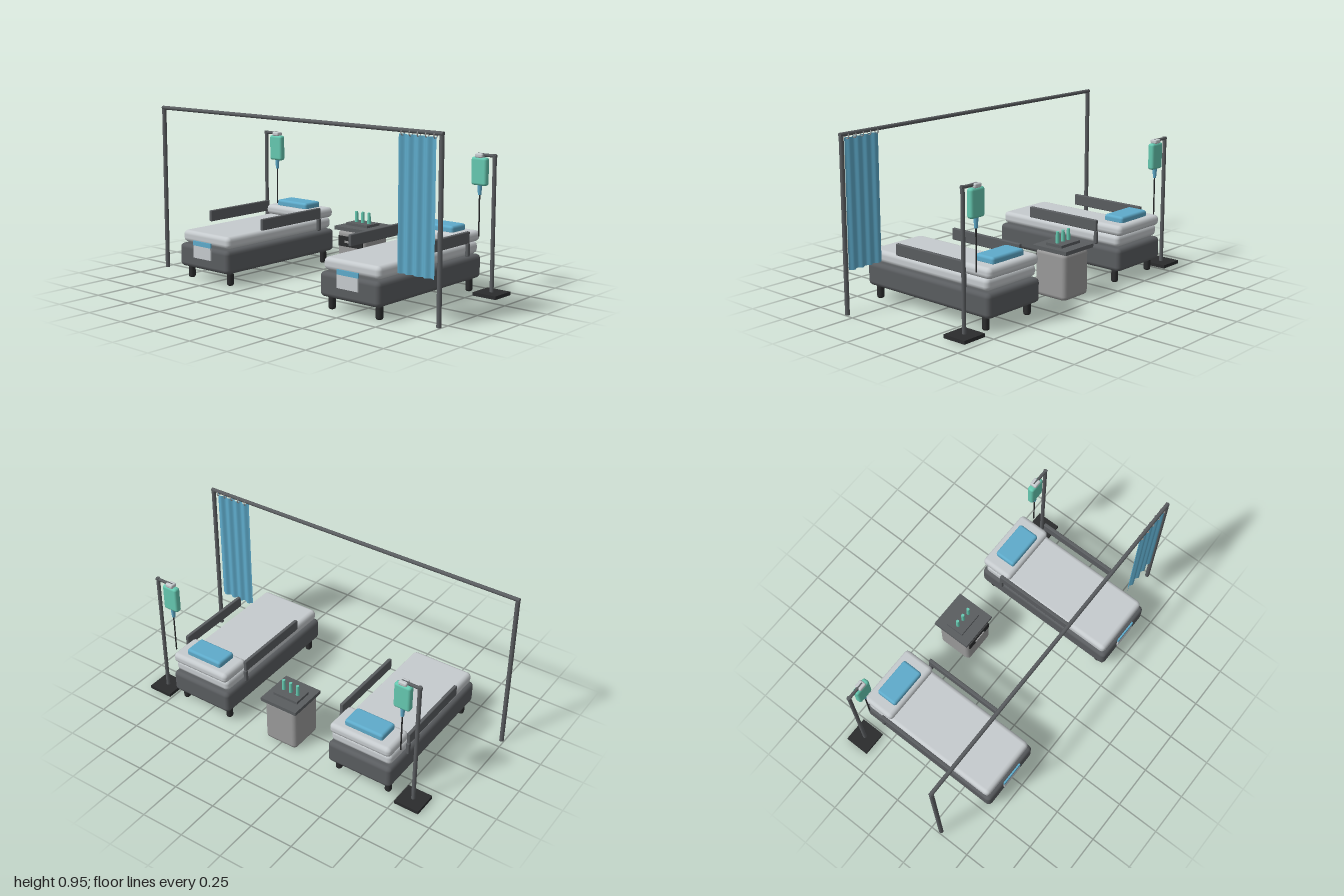
import * as THREE from 'three';
import { RoundedBoxGeometry } from 'three/addons/geometries/RoundedBoxGeometry.js';

const material = (name, color, side = THREE.FrontSide) => {
  const m = new THREE.MeshStandardMaterial({ color, side });
  m.name = name;
  return m;
};

export function createModel() {
  const frame = material('dark grey metal', 0x5a5d60);
  const black = material('black rubber', 0x2b2c2d);
  const linen = material('pale grey linen', 0xc6cbce);
  const cabinet = material('mid grey cabinet', 0x9a9a9a);
  const blue = material('blue fabric', 0x5eabcb, THREE.DoubleSide);
  const teal = material('teal fluid', 0x66c9b1);

  const group = (name, parent) => {
    const g = new THREE.Group();
    g.name = name;
    if (parent) parent.add(g);
    return g;
  };
  const add = (parent, name, geometry, mat, x, y, z) => {
    const mesh = new THREE.Mesh(geometry, mat);
    mesh.name = name;
    mesh.position.set(x, y, z);
    parent.add(mesh);
    return mesh;
  };
  // Boxes and rods are given by their limits
  const box = (parent, name, mat, [x0, x1], [y0, y1], [z0, z1], r = 0) => {
    const size = [x1 - x0, y1 - y0, z1 - z0];
    const geo = r ? new RoundedBoxGeometry(...size, 2, r) : new THREE.BoxGeometry(...size);
    return add(parent, name, geo, mat, (x0 + x1) / 2, (y0 + y1) / 2, (z0 + z1) / 2);
  };
  const post = (parent, name, mat, r, x, [y0, y1], z, rTop = r) =>
    add(parent, name, new THREE.CylinderGeometry(rTop, r, y1 - y0, 12), mat, x, (y0 + y1) / 2, z);
  const rodX = (parent, name, mat, r, [x0, x1], y, z) => {
    const rod = add(parent, name, new THREE.CylinderGeometry(r, r, x1 - x0, 12), mat, (x0 + x1) / 2, y, z);
    rod.rotation.z = Math.PI / 2;
    return rod;
  };

  const model = group('hospitalWard');

  // Beds with their drip stands, mirrored left and right
  for (const side of [-1, 1]) {
    const bed = group(side < 0 ? 'rightBed' : 'leftBed', model);
    bed.position.x = 0.528 * side;
    box(bed, 'bedBase', frame, [-0.195, 0.195], [0.075, 0.207], [-0.443, 0.443], 0.025);
    box(bed, 'mattress', linen, [-0.185, 0.185], [0.212, 0.28], [-0.425, 0.425], 0.025);
    box(bed, 'headSection', linen, [-0.187, 0.187], [0.276, 0.336], [-0.443, -0.25], 0.025);
    box(bed, 'pillow', blue, [-0.117, 0.117], [0.325, 0.37], [-0.402, -0.275], 0.015);
    for (const s of [-1, 1]) {
      box(bed, 'sideRail', frame, [s * 0.207 - 0.01, s * 0.207 + 0.01], [0.29, 0.354], [-0.295, 0.19], 0.005);
      box(bed, 'railBracket', frame, [s * 0.207 - 0.01, s * 0.207 + 0.01], [0.218, 0.291], [-0.3, -0.278], 0.006);
      for (const z of [-0.385, 0.385])
        box(bed, 'wheel', black, [s * 0.155 - 0.017, s * 0.155 + 0.017], [0.003, 0.078], [z - 0.018, z + 0.018], 0.013);
    }
    // Chart hung at the foot
    box(bed, 'chart', linen, [-0.068, 0.068], [0.14, 0.212], [0.443, 0.451]);
    box(bed, 'chartClip', blue, [-0.07, 0.07], [0.21, 0.236], [0.443, 0.452]);

    const stand = group(side < 0 ? 'rightDripStand' : 'leftDripStand', model);
    const z = -0.38, bagX = 0.742 * side, poleX = 0.832 * side;
    box(stand, 'standFoot', black, [poleX - 0.072, poleX + 0.072], [0.005, 0.024], [z - 0.071, z + 0.071]);
    post(stand, 'pole', frame, 0.011, poleX, [0.02, 0.763], z);
    rodX(stand, 'hookArm', frame, 0.009, side < 0 ? [-0.843, -0.728] : [0.728, 0.843], 0.754, z);
    box(stand, 'bagHanger', linen, [bagX - 0.024, bagX + 0.024], [0.738, 0.762], [z - 0.021, z + 0.021], 0.008);
    box(stand, 'fluidBag', teal, [bagX - 0.048, bagX + 0.048], [0.59, 0.741], [z - 0.02, z + 0.02], 0.014);
    post(stand, 'dripChamber', blue, 0.009, bagX, [0.538, 0.592], z, 0.013);
    post(stand, 'dripTube', black, 0.004, bagX, [0.315, 0.54], z);
  }

  // Bedside cabinet with tray and bottles
  const table = group('bedsideCabinet', model);
  box(table, 'cabinetBody', cabinet, [-0.104, 0.1], [0.005, 0.268], [-0.412, -0.202], 0.025);
  box(table, 'tableTop', frame, [-0.118, 0.112], [0.267, 0.288], [-0.428, -0.196]);
  box(table, 'tray', frame, [-0.083, 0.073], [0.288, 0.303], [-0.366, -0.257]);
  box(table, 'drawerFront', black, [-0.09, 0.085], [0.177, 0.236], [-0.205, -0.197]);
  box(table, 'drawerHandle', cabinet, [-0.04, 0.036], [0.2, 0.211], [-0.198, -0.191]);
  for (const x of [-0.05, -0.004, 0.042])
    post(table, 'bottle', teal, 0.011, x, [0.302, 0.365], -0.311, 0.009);

  // Curtain frame
  const rail = group('curtainFrame', model);
  for (const s of [-1, 1]) post(rail, 'framePost', frame, 0.0125, s * 0.985, [0.003, 0.936], 0.305);
  rodX(rail, 'topRod', frame, 0.011, [-0.995, 0.995], 0.943, 0.305);

  // Folded curtain: a sheet pushed into a wave
  const sheet = new THREE.PlaneGeometry(0.224, 0.69, 48, 1);
  const pos = sheet.attributes.position;
  for (let i = 0; i < pos.count; i++)
    pos.setZ(i, 0.008 * Math.cos((pos.getX(i) / 0.224 + 0.5) * Math.PI * 8));
  sheet.computeVertexNormals();
  add(rail, 'curtain', sheet, blue, 0.847, 0.58, 0.305);
  for (let i = 0; i < 5; i++)
    add(rail, 'curtainRing', new THREE.TorusGeometry(0.014, 0.003, 6, 16), cabinet, 0.752 + i * 0.049, 0.932, 0.305)
      .rotation.y = Math.PI / 2;

  return model;
}
